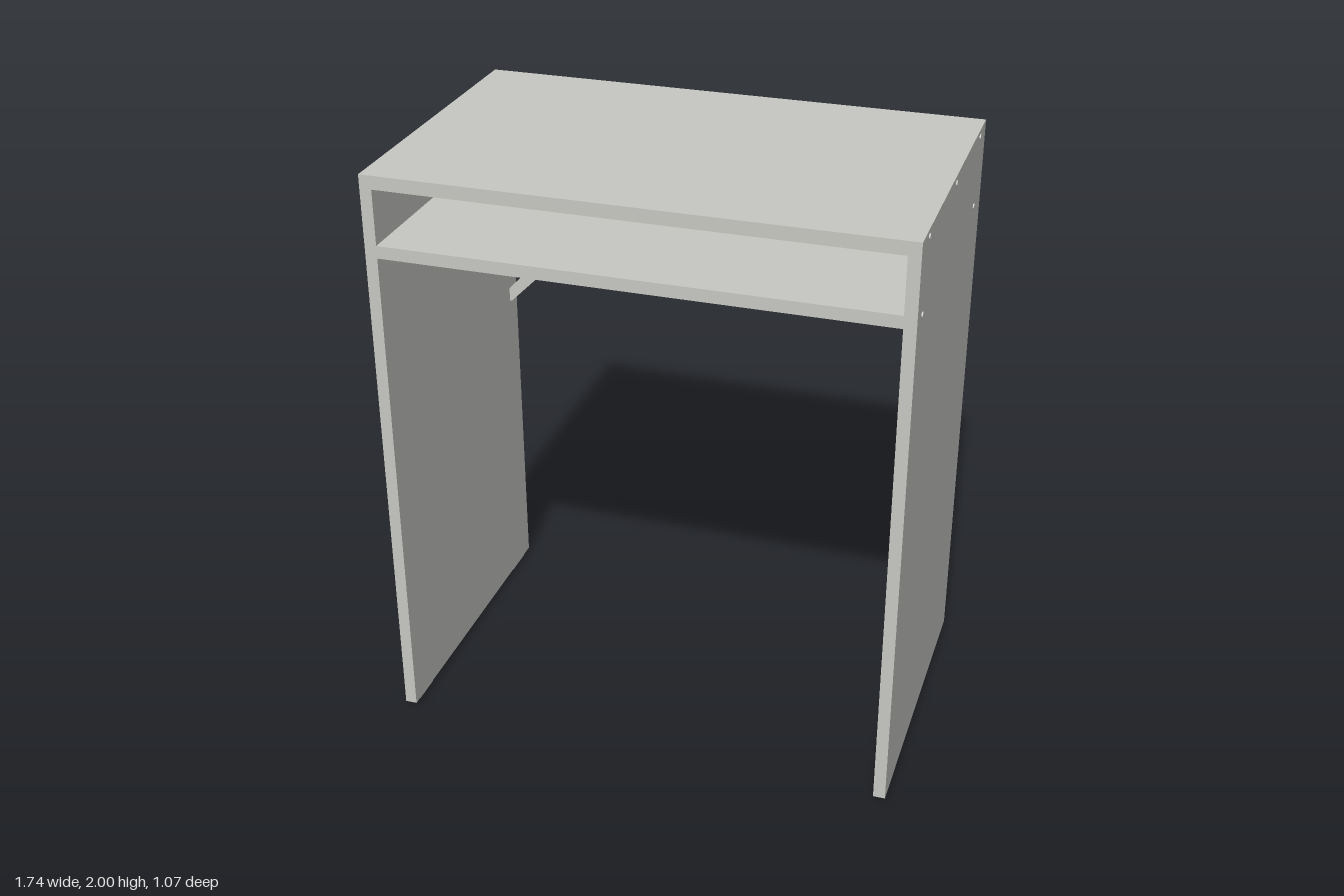
import * as THREE from 'three';

export function createModel() {
  const desk = new THREE.Group();
  desk.name = 'desk';
  const grey = new THREE.MeshStandardMaterial({ name: 'panelGrey', color: 0xc8c8c3 });
  const brown = new THREE.MeshStandardMaterial({ name: 'rawBoardBrown', color: 0x6b4a35 });

  const add = (name, geometry, material = grey) => {
    const mesh = new THREE.Mesh(geometry, material);
    mesh.name = name;
    desk.add(mesh);
    return mesh;
  };
  // Box given by its lower and upper limits on each axis
  const box = (name, [x0, x1], [y0, y1], [z0, z1], material) =>
    add(name, new THREE.BoxGeometry(x1 - x0, y1 - y0, z1 - z0), material)
      .position.set((x0 + x1) / 2, (y0 + y1) / 2, (z0 + z1) / 2);
  // Flat polygon in the xy plane, extruded along z
  const prism = (name, points, z0, depth) => {
    const shape = new THREE.Shape(points.map(([x, y]) => new THREE.Vector2(x, y)));
    add(name, new THREE.ExtrudeGeometry(shape, { depth, bevelEnabled: false })).position.z = z0;
  };

  const outer = 0.865, inner = 0.825, half = 0.533, base = 0.015;

  // Top board and shelf
  box('top', [-inner, inner], [1.955, 2], [-half, half]);
  box('shelf', [-inner, inner], [1.728, 1.77], [-0.47, half]);

  for (const s of [1, -1]) {
    const side = s > 0 ? 'left' : 'right';
    const span = (a, b) => (s > 0 ? [a, b] : [-b, -a]);

    // Side panel with its unfinished lower edge
    box(side + 'Panel', span(inner, outer), [base, 2], [-half, half]);
    box(side + 'RawEdge', span(inner + 0.002, outer - 0.002), [base - 0.002, base + 0.002],
      [-half + 0.003, half - 0.003], brown);

    // Feet with chamfered lower edges
    for (const z of [-0.49, 0.385]) {
      prism(side + 'Foot', [[0.829, base], [0.829, 0.006], [0.834, 0], [0.856, 0], [0.861, 0.006], [0.861, base]]
        .map(([x, y]) => [s * x, y]), z, 0.105);
    }

    // Diagonal brace behind the shelf
    prism(side + 'Brace', [[0.004, 1.955], [0.058, 1.955], [inner, 1.19], [inner, 1.14], [0.818, 1.14]]
      .map(([x, y]) => [s * x, y]), -0.502, 0.032);
    for (const [x, y] of [[0.62, 1.365], [0.215, 1.772]]) {
      const bolt = add(side + 'BraceBolt', new THREE.CylinderGeometry(0.009, 0.009, 0.038, 10));
      bolt.rotation.x = Math.PI / 2;
      bolt.position.set(s * x, y, -0.486);
    }

    // Screw heads holding the top and the shelf
    for (const [y, z] of [[1.977, 0.43], [1.977, 0], [1.977, -0.425], [1.748, 0.465], [1.748, -0.4]]) {
      const screw = add(side + 'Screw', new THREE.CylinderGeometry(0.01, 0.01, 0.008, 10));
      screw.rotation.z = Math.PI / 2;
      screw.position.set(s * outer, y, z);
    }
  }
  return desk;
}
